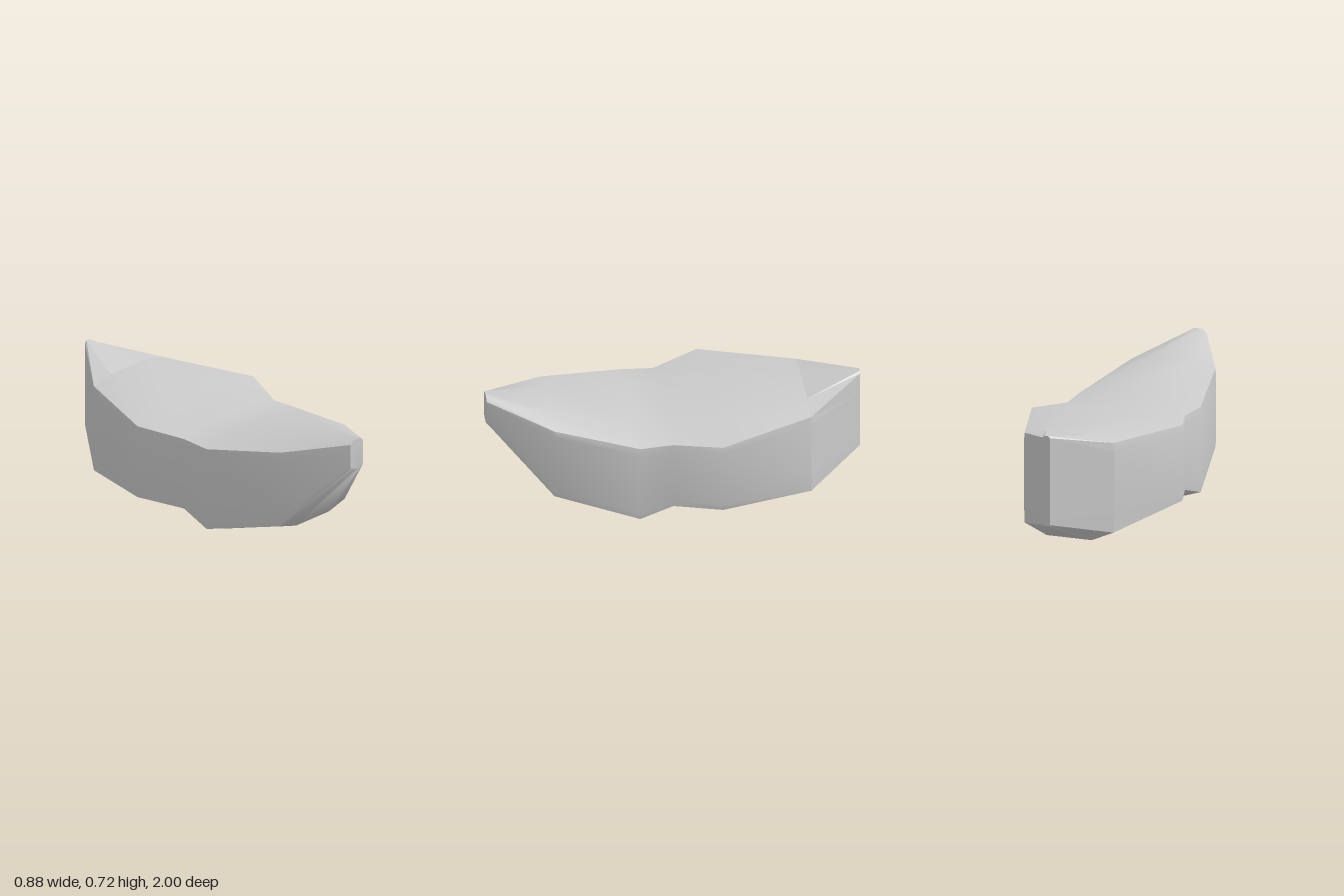
import * as THREE from 'three';
import { toCreasedNormals } from 'three/addons/utils/BufferGeometryUtils.js';

// Cross-sections from front to back:
// z, half width, then heights: bottom, lower bevel, lower side, upper side, upper bevel, top
const SECTIONS = [
  [1.0, 0.047, 0.545, 0.56, 0.575, 0.685, 0.70, 0.72],
  [0.67, 0.245, 0.145, 0.18, 0.22, 0.57, 0.61, 0.64],
  [0.23, 0.355, 0.0, 0.055, 0.1, 0.48, 0.52, 0.55],
  [0.05, 0.343, 0.07, 0.11, 0.15, 0.475, 0.515, 0.54],
  [-0.2, 0.44, 0.085, 0.125, 0.165, 0.5, 0.538, 0.565],
  [-0.7, 0.26, 0.0, 0.055, 0.165, 0.5, 0.545, 0.572],
  [-1.0, 0.022, 0.135, 0.145, 0.165, 0.5, 0.62, 0.63],
];
const WIDTHS = [0.5, 0.985, 1, 1, 0.985, 0.5];

// Closed 12-point ring, counter-clockwise as seen from the front
function ring([z, w, ...heights]) {
  const right = heights.map((y, i) => new THREE.Vector3(w * WIDTHS[i], y, z));
  const left = right.map((p) => new THREE.Vector3(-p.x, p.y, z)).reverse();
  return [...right, ...left];
}

// Skin over consecutive rings, with optional end caps
function loft(sections, capFront, capBack) {
  const rings = sections.map(ring);
  const n = rings[0].length;
  const pos = [];
  const tri = (...pts) => pts.forEach((p) => pos.push(p.x, p.y, p.z));
  for (let s = 0; s < rings.length - 1; s++) {
    for (let i = 0; i < n; i++) {
      const j = (i + 1) % n;
      const a = rings[s][i], b = rings[s][j], c = rings[s + 1][i], d = rings[s + 1][j];
      tri(a, c, b);
      tri(b, c, d);
    }
  }
  const first = rings[0], last = rings[rings.length - 1];
  for (let i = 1; i < n - 1; i++) {
    if (capFront) tri(first[0], first[i], first[i + 1]);
    if (capBack) tri(last[0], last[i + 1], last[i]);
  }
  const geometry = new THREE.BufferGeometry();
  geometry.setAttribute('position', new THREE.Float32BufferAttribute(pos, 3));
  geometry.computeVertexNormals();
  return geometry;
}

export function createModel() {
  const group = new THREE.Group();
  group.name = 'hull';

  // Smooth main body with creased long edges
  const body = new THREE.Mesh(
    toCreasedNormals(loft(SECTIONS.slice(0, 6), true, false), 0.78),
    new THREE.MeshStandardMaterial({ color: 0xcccccc })
  );
  body.name = 'body';

  // Faceted wedge closing the rear
  const tail = new THREE.Mesh(
    loft(SECTIONS.slice(5), false, true),
    new THREE.MeshStandardMaterial({ color: 0xcccccc, flatShading: true })
  );
  tail.name = 'tailWedge';

  group.add(body, tail);
  return group;
}
